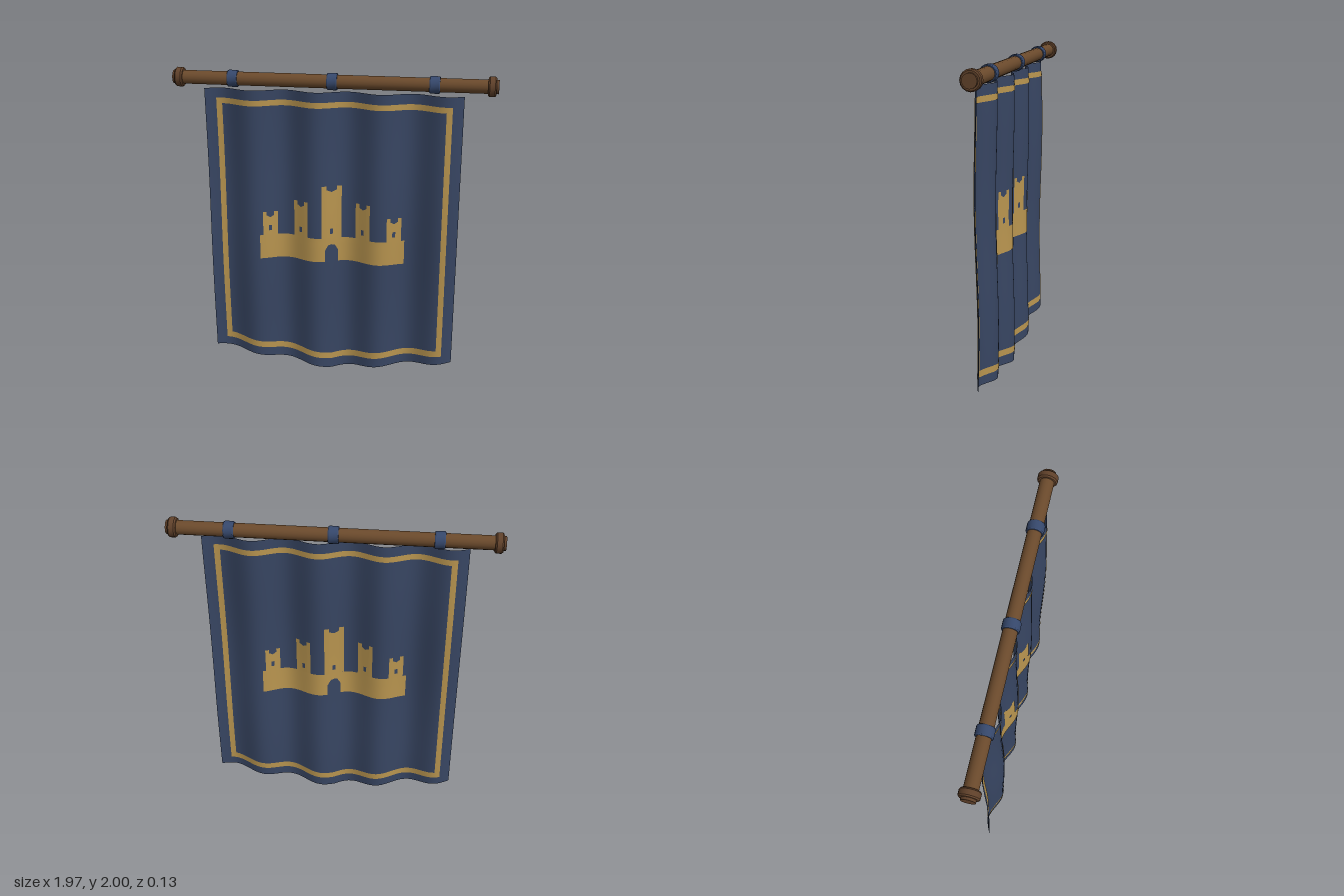
import * as THREE from 'three';
import { toCreasedNormals } from 'three/addons/utils/BufferGeometryUtils.js';

const material = (name, color, side = THREE.FrontSide) => {
  const m = new THREE.MeshStandardMaterial({ color, side });
  m.name = name;
  return m;
};

// Depth of the hanging cloth: vertical folds plus a gentle sway
const foldZ = (x, y) =>
  0.026 - 0.031 * Math.sin(15.9 * x) +
  0.007 * Math.cos((2 * Math.PI * (y - 0.68)) / 1.45 - 1.5 * (x + 0.79));

export function createModel() {
  const group = new THREE.Group();
  group.name = 'hangingBanner';
  const navy = material('navyCloth', 0x384663, THREE.DoubleSide);
  const gold = material('goldThread', 0xba9650, THREE.DoubleSide);
  const wood = material('wood', 0x6b4a2c);
  const capWood = material('darkWood', 0x60412a);
  const strap = material('blueStrap', 0x36486c);

  // Cloth patch between two edge curves lo(x) and hi(x), laid on the folds
  const patch = (name, mat, x0, x1, lo, hi, offset) => {
    const low = typeof lo === 'function' ? lo : () => lo;
    const high = typeof hi === 'function' ? hi : () => hi;
    const mid = (x0 + x1) / 2;
    const nx = Math.max(2, 2 * Math.ceil((x1 - x0) / 0.04));
    const ny = Math.max(1, Math.ceil((high(mid) - low(mid)) / 0.05));
    const geo = new THREE.PlaneGeometry(1, 1, nx, ny);
    const p = geo.attributes.position;
    for (let i = 0; i < p.count; i++) {
      const x = x0 + (x1 - x0) * (p.getX(i) + 0.5);
      const y = low(x) + (high(x) - low(x)) * (p.getY(i) + 0.5);
      p.setXYZ(i, x, y, foldZ(x, y) + offset);
    }
    geo.computeVertexNormals();
    const mesh = new THREE.Mesh(geo, mat);
    mesh.name = name;
    group.add(mesh);
  };

  // Banner cloth with a shallow pointed hem
  patch('cloth', navy, -0.79, 0.79, (x) => 0.005 + 0.139 * Math.abs(x), 1.88, 0);

  // Embroidery, repeated on both faces of the cloth
  for (const face of [1, -1]) {
    const d = 0.003 * face;
    const hem = (x) => 0.073 + 0.125 * Math.abs(x);
    const hemInner = (x) => hem(x) + 0.042;

    // Border
    patch('borderTop', gold, -0.725, 0.725, 1.783, 1.818, d);
    patch('borderBottom', gold, -0.725, 0.725, hem, hemInner, d);
    for (const s of [-1, 1]) {
      const [a, b] = [s * 0.69, s * 0.725].sort((m, n) => m - n);
      patch('borderSide', gold, a, b, hemInner, 1.783, d);
    }

    // Castle wall and arched gate
    patch('castleWall', gold, -0.46, 0.46, 0.785, 0.945, d);
    const arch = (x) => 0.862 + 0.042 * Math.sqrt(Math.max(0, 1 - (x / 0.04) ** 2));
    patch('castleGate', navy, -0.04, 0.04, 0.785, arch, 2 * d);

    // Towers: centre x, half width, top height
    const towers = [
      [-0.395, 0.044, 1.1], [-0.197, 0.047, 1.18], [0, 0.06, 1.29],
      [0.197, 0.047, 1.18], [0.395, 0.044, 1.1],
    ];
    for (const [cx, w, top] of towers) {
      const notch = (x) => top - 0.024 - 0.014 * (1 - Math.abs(x - cx) / (w * 0.5));
      patch('tower', gold, cx - w * 0.5, cx + w * 0.5, 0.945, notch, d);
      patch('towerLeftEdge', gold, cx - w, cx - w * 0.5, 0.945, top, d);
      patch('towerRightEdge', gold, cx + w * 0.5, cx + w, 0.945, top, d);
      patch('towerWindow', navy, cx - 0.009, cx + 0.009, 0.975, 1.01, 2 * d);
    }
  }

  // Turned parts along the pole: profile of [radius, x]
  const turned = (name, mat, profile, x, mirror = 1) => {
    const geo = new THREE.LatheGeometry(profile.map(([r, h]) => new THREE.Vector2(r, h)), 16);
    geo.rotateZ(-Math.PI / 2);
    if (mirror < 0) geo.rotateY(Math.PI);
    const mesh = new THREE.Mesh(toCreasedNormals(geo, 0.5), mat);
    mesh.name = name;
    mesh.position.set(x, 1.94, 0);
    group.add(mesh);
  };

  turned('pole', wood, [[0, -0.96], [0.042, -0.96], [0.042, 0.96], [0, 0.96]], 0);

  for (const s of [-1, 1]) {
    turned('endCap', capWood, [
      [0.04, -0.026], [0.053, -0.026], [0.06, -0.017], [0.06, 0.014],
      [0.053, 0.022], [0.042, 0.022], [0.042, 0.037], [0, 0.037],
    ], s * 0.948, s);
  }

  for (const x of [-0.612, 0, 0.612]) {
    turned('strap', strap, [
      [0.04, -0.031], [0.048, -0.031], [0.052, -0.025],
      [0.052, 0.025], [0.048, 0.031], [0.04, 0.031],
    ], x);
  }

  return group;
}
